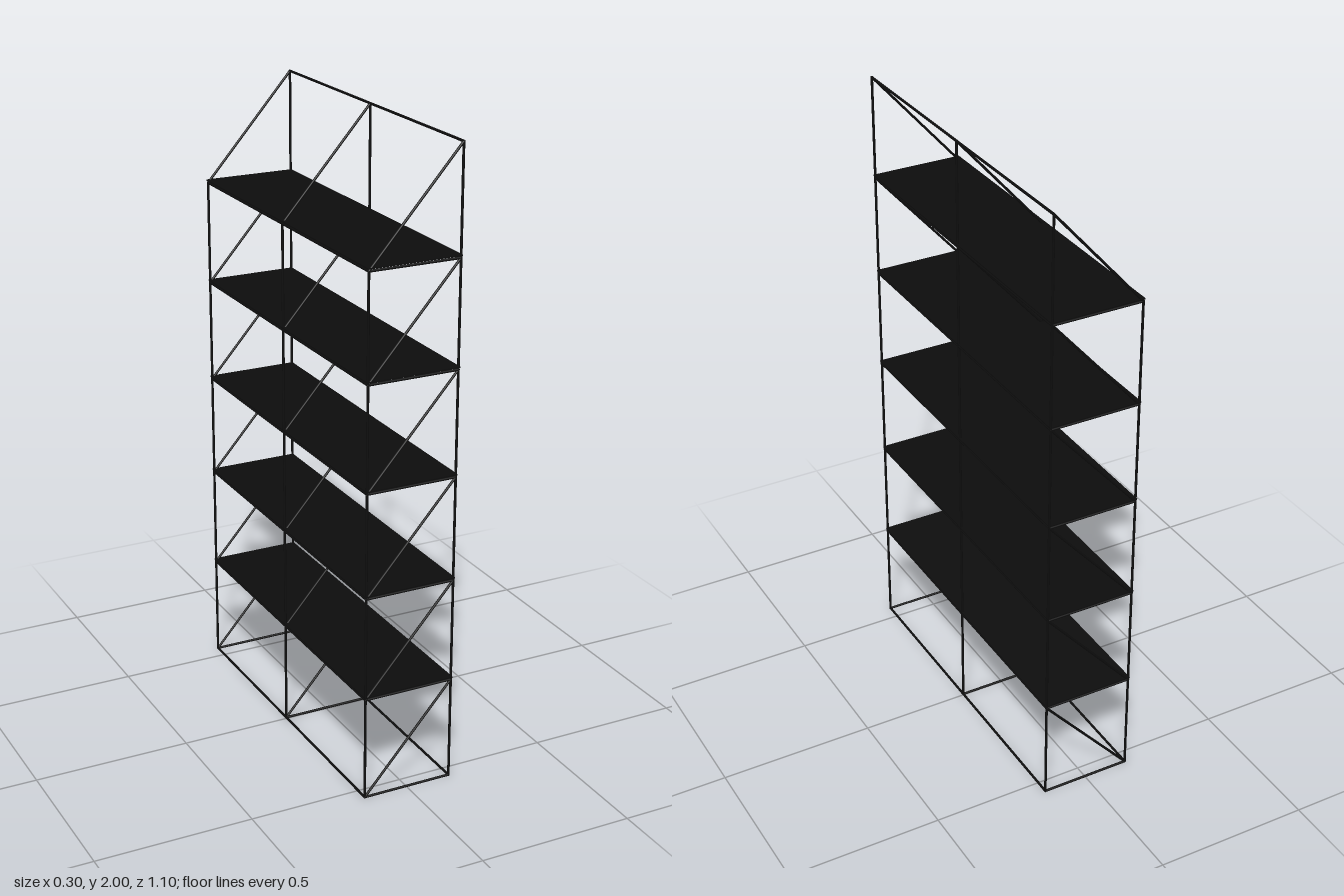
import * as THREE from 'three';

export function createModel() {
  const model = new THREE.Group();
  const black = new THREE.MeshStandardMaterial({ color: 0x0d0d0d });

  const R = 0.004;              // rod radius
  const X = 0.146, Z = 0.548;   // rod centre lines
  const LEVELS = 5, BASE = R, TOP = 2 - R;
  const STEP = (TOP - BASE) / (LEVELS + 1);
  const levelY = (i) => BASE + i * STEP;
  const up = new THREE.Vector3(0, 1, 0);

  // Round rod between two points
  function rod(name, a, b) {
    const from = new THREE.Vector3(...a), to = new THREE.Vector3(...b);
    const dir = to.clone().sub(from);
    const length = dir.length() + R;
    const mesh = new THREE.Mesh(new THREE.CylinderGeometry(R, R, length, 10), black);
    mesh.position.copy(from).add(to).multiplyScalar(0.5);
    mesh.quaternion.setFromUnitVectors(up, dir.normalize());
    mesh.name = name;
    return mesh;
  }

  // Three upright trusses: tall post, short post, cross bars and diagonals
  for (const z of [-Z, 0, Z]) {
    const truss = new THREE.Group();
    truss.name = 'truss';
    truss.add(rod('tallPost', [X, BASE, z], [X, TOP, z]));
    truss.add(rod('shortPost', [-X, BASE, z], [-X, levelY(LEVELS), z]));
    for (let i = 0; i <= LEVELS; i++) {
      truss.add(rod('crossBar', [-X, levelY(i), z], [X, levelY(i), z]));
      truss.add(rod('diagonalBrace', [-X, levelY(i), z], [X, levelY(i + 1), z]));
    }
    model.add(truss);
  }

  // Long rails on both sides of every level, and one along the top
  for (let i = 0; i <= LEVELS; i++) {
    for (const x of [-X, X]) {
      model.add(rod('longRail', [x, levelY(i), -Z], [x, levelY(i), Z]));
    }
  }
  model.add(rod('topRail', [X, TOP, -Z], [X, TOP, Z]));

  // Thin shelf plates resting on the rails
  for (let i = 1; i <= LEVELS; i++) {
    const shelf = new THREE.Mesh(
      new THREE.BoxGeometry(2 * (X + R), 0.004, 2 * (Z + R)), black);
    shelf.position.y = levelY(i) + R + 0.004;
    shelf.name = 'shelf';
    model.add(shelf);
  }

  return model;
}
